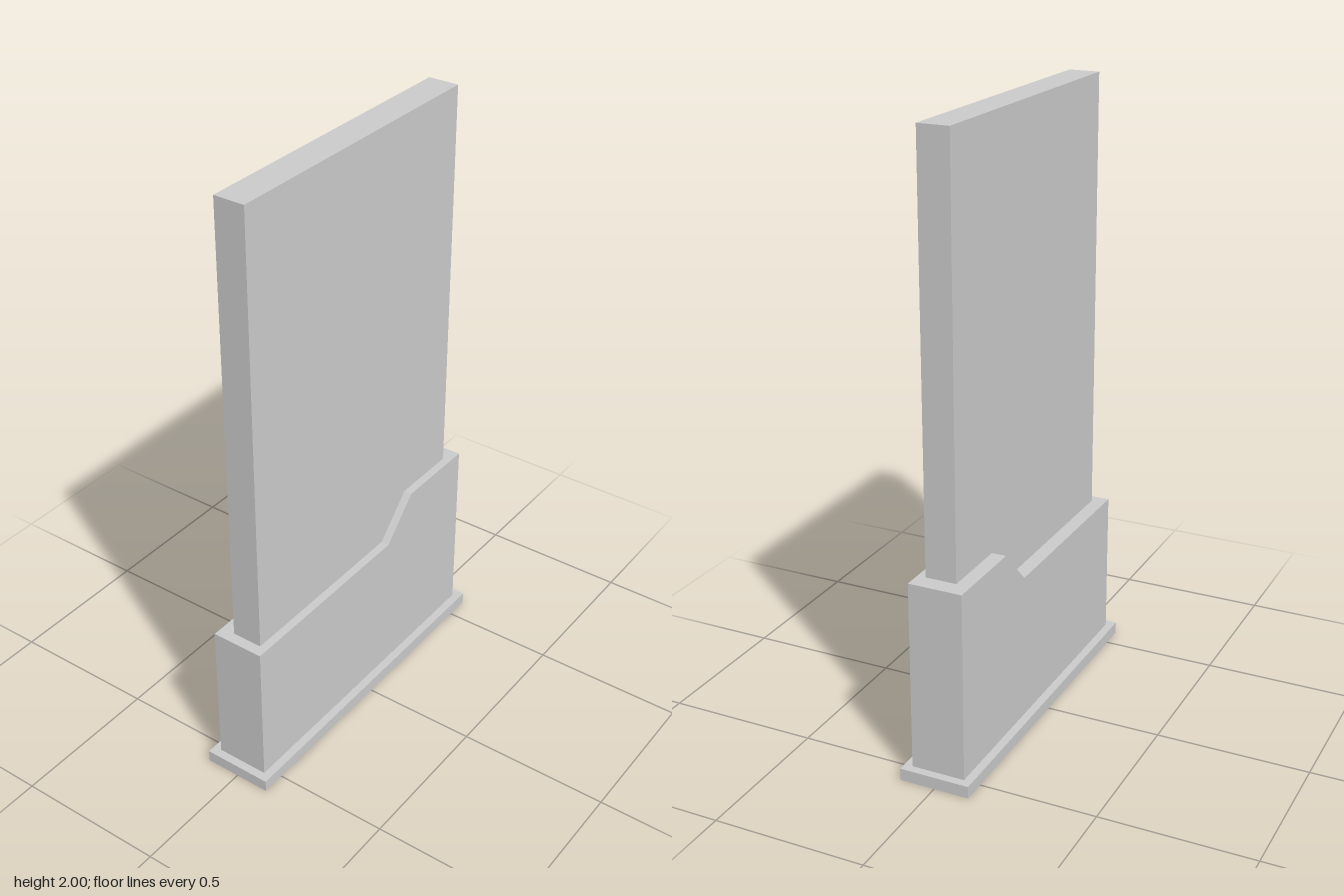
import * as THREE from 'three';

const material = new THREE.MeshStandardMaterial({ color: 0xcccccc, flatShading: true, side: THREE.DoubleSide });

// A loop of eight corners: the front edge from -x to +x, then the back edge returning.
// heights gives y at the four stations along x.
function loop(halfX, halfZ, heights) {
  const xs = [-halfX, 0.13, 0.26, halfX];
  const front = xs.map((x, i) => [x, heights[i], halfZ]);
  const back = front.map(([x, y]) => [x, y, -halfZ]).reverse();
  return [...front, ...back];
}

// Quad a-b-c-d, counter-clockwise from outside
function quad(out, a, b, c, d) {
  for (const p of [a, b, c, a, c, d]) out.push(...p);
}

// Open shell joining loops from bottom to top, with an optional cap on the last one
function shell(name, loops, capped) {
  const out = [];
  for (let k = 0; k + 1 < loops.length; k++) {
    const low = loops[k], high = loops[k + 1];
    for (let i = 0; i < low.length; i++) {
      const j = (i + 1) % low.length;
      quad(out, low[i], low[j], high[j], high[i]);
    }
  }
  if (capped) {
    const top = loops[loops.length - 1];
    for (let i = 0; i < 3; i++) quad(out, top[i], top[i + 1], top[6 - i], top[7 - i]);
  }
  const geometry = new THREE.BufferGeometry();
  geometry.setAttribute('position', new THREE.Float32BufferAttribute(out, 3));
  geometry.computeVertexNormals();
  const mesh = new THREE.Mesh(geometry, material);
  mesh.name = name;
  return mesh;
}

export function createModel() {
  const group = new THREE.Group();
  group.name = 'steppedPanel';

  const level = (y) => [y, y, y, y];
  const baseHeight = 0.04;
  const step = [0.528, 0.528, 0.66, 0.66];

  // Foot trim: thin side walls and the ledge around the body, open underneath
  const bodyFoot = loop(0.552, 0.0885, level(baseHeight));
  group.add(shell('footTrim', [
    loop(0.58, 0.116, level(0)),
    loop(0.58, 0.116, level(baseHeight)),
    bodyFoot,
  ], false));

  // Hollow lower body with a sloped step in its top
  group.add(shell('lowerBody', [bodyFoot, loop(0.552, 0.0885, step)], true));

  // Tall upright panel, set slightly off centre
  const bottom = step[0], top = 2;
  const panel = new THREE.Mesh(new THREE.BoxGeometry(1.01, top - bottom, 0.102), material);
  panel.name = 'uprightPanel';
  panel.position.set(-0.011, (top + bottom) / 2, 0.01);
  group.add(panel);

  return group;
}
